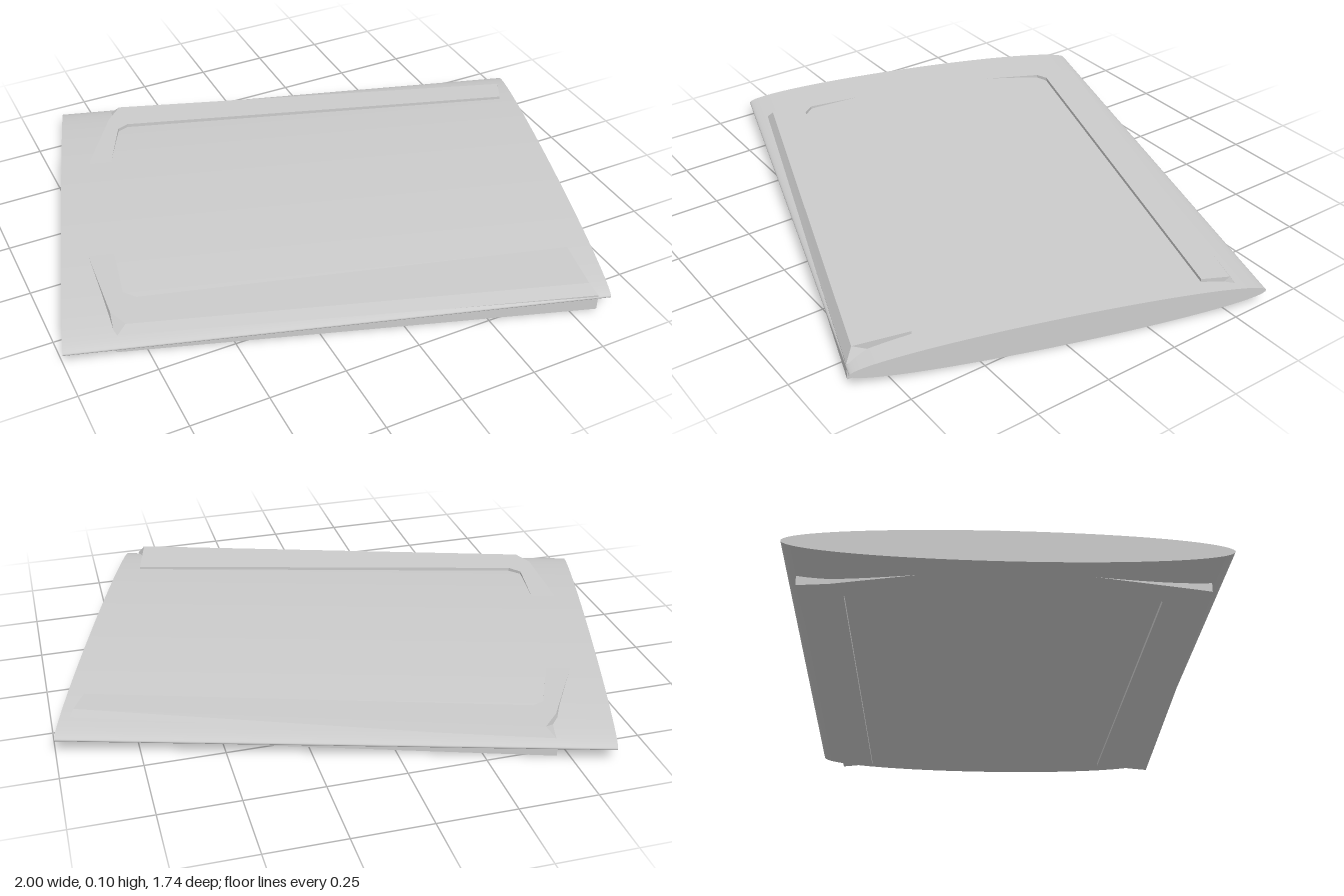
import * as THREE from 'three';

// Ribbon lofted through stations of [outerX, outerZ, topX, topZ, innerX, innerZ]
function chamferedFrame(stations, bottom, shoulder, top) {
  const rings = stations.map(([ox, oz, tx, tz, ix, iz]) => [
    [ix, bottom, iz], [ox, bottom, oz], [ox, shoulder, oz], [tx, top, tz], [ix, top, iz],
  ]);
  const pos = [];
  const tri = (a, b, c) => pos.push(...a, ...b, ...c);
  const n = 5;
  for (let i = 0; i < rings.length - 1; i++) {
    for (let j = 0; j < n; j++) {
      const k = (j + 1) % n;
      tri(rings[i][j], rings[i][k], rings[i + 1][k]);
      tri(rings[i][j], rings[i + 1][k], rings[i + 1][j]);
    }
  }
  // End caps
  const first = rings[0], last = rings[rings.length - 1];
  for (let j = 1; j < n - 1; j++) {
    tri(first[0], first[j + 1], first[j]);
    tri(last[0], last[j], last[j + 1]);
  }
  const geo = new THREE.BufferGeometry();
  geo.setAttribute('position', new THREE.Float32BufferAttribute(pos, 3));
  geo.computeVertexNormals();
  return geo;
}

export function createModel() {
  const model = new THREE.Group();
  model.name = 'panel';
  const material = new THREE.MeshStandardMaterial({ color: 0xcccccc });

  // Thin slab with an elliptical cross-section, turned in plan
  const slabGeo = new THREE.CylinderGeometry(1, 1, 1, 96);
  slabGeo.rotateZ(Math.PI / 2);
  slabGeo.scale(1.695, 0.05, 0.648);
  const slab = new THREE.Mesh(slabGeo, material);
  slab.name = 'curvedSlab';
  slab.position.y = 0.05;
  slab.rotation.y = -0.299;
  model.add(slab);

  // C-shaped frame, open at the right-hand end, sunk into the slab
  const frame = new THREE.Mesh(chamferedFrame([
    [0.58, 0.855, 0.56, 0.825, 0.60, 0.65],
    [-0.84, 0.38, -0.80, 0.37, -0.73, 0.27],
    [-0.835, 0.32, -0.825, 0.30, -0.76, 0.23],
    [-0.80, -0.01, -0.80, -0.01, -0.725, 0.05],
    [-0.64, -0.47, -0.64, -0.47, -0.565, -0.45],
    [-0.50, -0.70, -0.49, -0.70, -0.48, -0.625],
    [-0.46, -0.79, -0.43, -0.76, -0.44, -0.64],
    [0.955, -0.30, 0.93, -0.28, 0.89, -0.20],
  ], 0.004, 0.06, 0.096), material);
  frame.name = 'edgeFrame';
  model.add(frame);

  return model;
}
